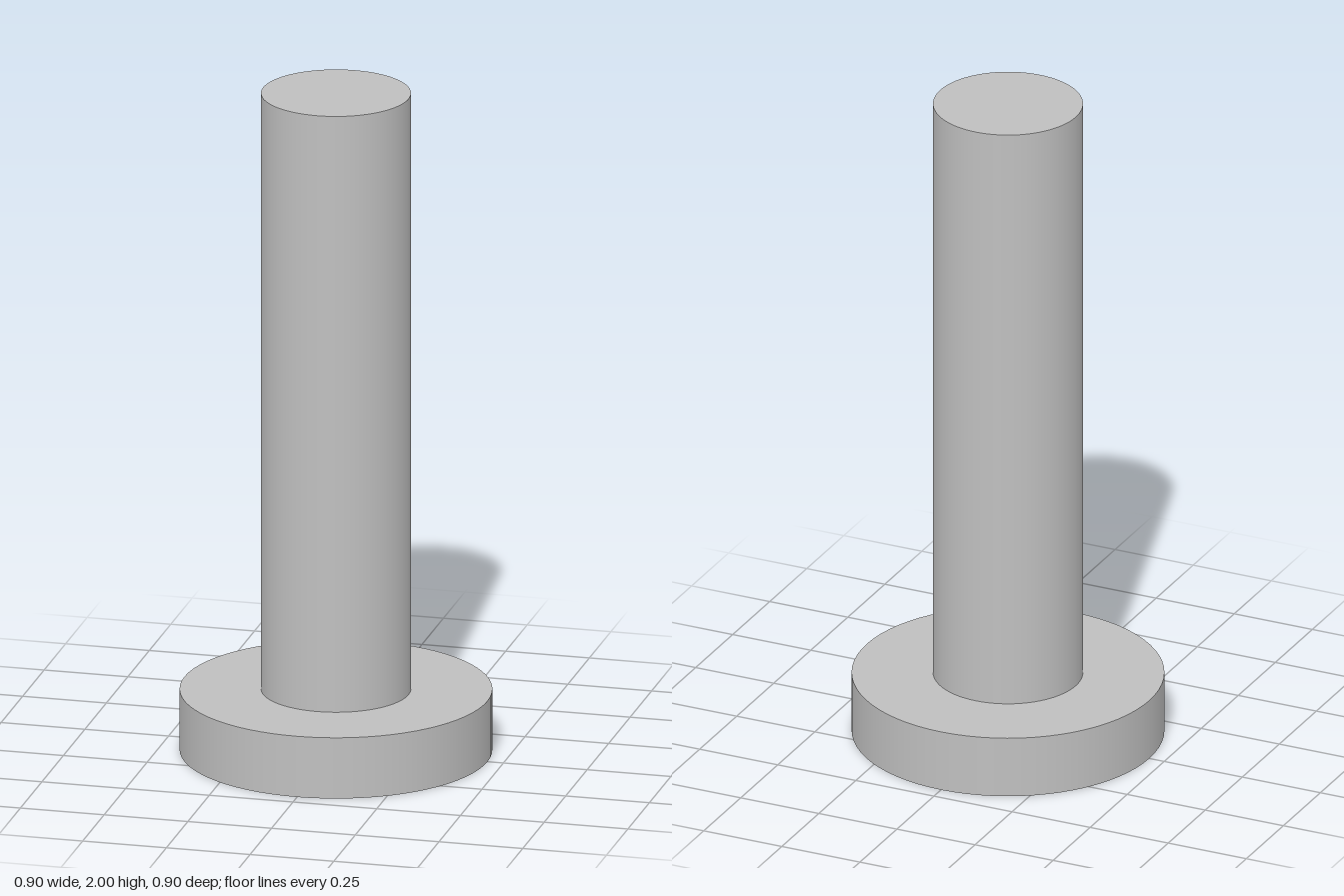
import * as THREE from 'three';

const HEAD_R = 0.4525, HEAD_H = 0.185;
const SHAFT_R = 0.217, TOP = 2;
const SOCKET_R = 0.164, SOCKET_D = 0.075;
const SEGMENTS = 72;

export function createModel() {
  const steel = new THREE.MeshStandardMaterial({ color: 0xbfbfbf });
  steel.name = 'steel grey';

  const group = new THREE.Group();
  group.name = 'socketBolt';
  const add = (name, geometry, y) => {
    const mesh = new THREE.Mesh(geometry, steel);
    mesh.name = name;
    mesh.position.y = y;
    group.add(mesh);
  };

  // Shaft, with its flat end
  const shaftH = TOP - HEAD_H;
  add('shaft', new THREE.CylinderGeometry(SHAFT_R, SHAFT_R, shaftH, SEGMENTS, 1, true), HEAD_H + shaftH / 2);
  add('shaftEnd', new THREE.CircleGeometry(SHAFT_R, SEGMENTS).rotateX(-Math.PI / 2), TOP);

  // Head rim and the shoulder around the shaft
  add('headRim', new THREE.CylinderGeometry(HEAD_R, HEAD_R, HEAD_H, SEGMENTS, 1, true), HEAD_H / 2);
  add('headShoulder', new THREE.RingGeometry(SHAFT_R, HEAD_R, SEGMENTS).rotateX(-Math.PI / 2), HEAD_H);

  // Underside of the head, pierced by the hexagon
  const face = new THREE.Shape().absarc(0, 0, HEAD_R, 0, Math.PI * 2);
  const corners = Array.from({ length: 6 }, (_, i) => {
    const a = (i * Math.PI) / 3;
    return new THREE.Vector2(SOCKET_R * Math.cos(a), SOCKET_R * Math.sin(a));
  });
  face.holes.push(new THREE.Path(corners));
  add('headFace', new THREE.ShapeGeometry(face, SEGMENTS).rotateX(Math.PI / 2), 0);

  // Hexagonal socket: mirrored so its flat walls face inwards
  const walls = new THREE.CylinderGeometry(SOCKET_R, SOCKET_R, SOCKET_D, 6, 1, true)
    .rotateY(Math.PI / 2).scale(1, -1, 1).toNonIndexed();
  walls.computeVertexNormals();
  add('socketWalls', walls, SOCKET_D / 2);
  add('socketFloor', new THREE.CircleGeometry(SOCKET_R, 6).rotateX(Math.PI / 2), SOCKET_D);

  return group;
}
